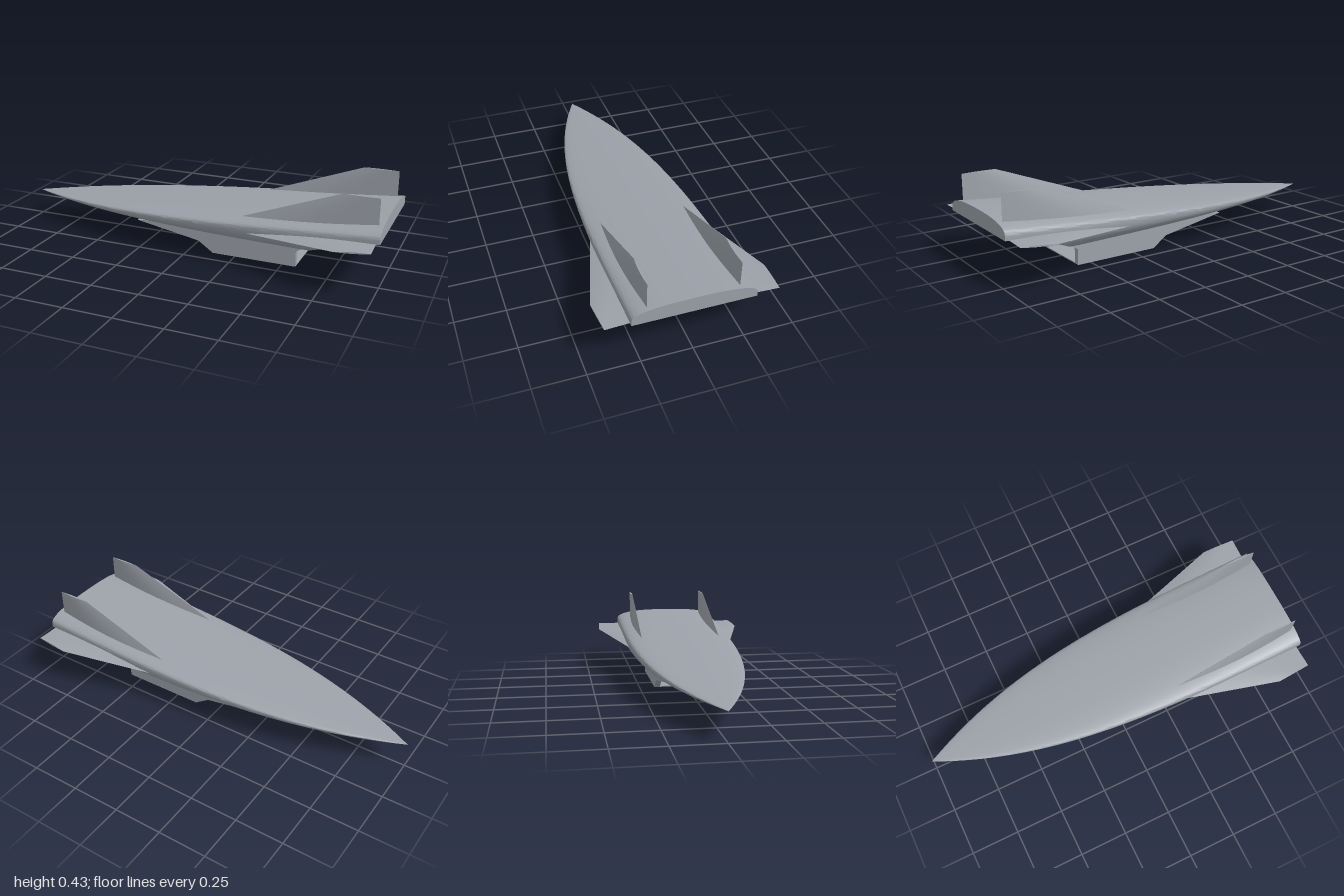
import * as THREE from 'three';
import { toCreasedNormals } from 'three/addons/utils/BufferGeometryUtils.js';

const material = new THREE.MeshStandardMaterial({ color: 0x9ca1a9 });

function add(group, name, geometry, crease = 0.55) {
  const mesh = new THREE.Mesh(toCreasedNormals(geometry, crease), material);
  mesh.name = name;
  group.add(mesh);
}

// Skin closed rings of [x, y, z] that run counterclockwise about the loft direction
function loft(rings) {
  const n = rings[0].length, pos = [];
  const tri = (a, b, c) => pos.push(...a, ...b, ...c);
  const centre = (r) => [0, 1, 2].map((k) => r.reduce((s, p) => s + p[k], 0) / n);
  const first = rings[0], last = rings[rings.length - 1];
  const c0 = centre(first), c1 = centre(last);
  for (let j = 0; j < n; j++) {
    const k = (j + 1) % n;
    for (let i = 0; i + 1 < rings.length; i++) {
      const p = rings[i], q = rings[i + 1];
      tri(p[j], p[k], q[k]);
      tri(p[j], q[k], q[j]);
    }
    tri(c0, first[k], first[j]);
    tri(c1, last[j], last[k]);
  }
  const g = new THREE.BufferGeometry();
  g.setAttribute('position', new THREE.Float32BufferAttribute(pos, 3));
  return g;
}

// Side profile extruded between two z values
function slab(points, z0, z1) {
  const shape = new THREE.Shape(points.map(([x, y]) => new THREE.Vector2(x, y)));
  const g = new THREE.ExtrudeGeometry(shape, { depth: z1 - z0, bevelEnabled: false });
  return g.translate(0, 0, z0);
}

// Thin lens section from leading edge to trailing edge; off(t) maps thickness to an offset
function lens(le, te, thickness, off) {
  const ring = [], N = 10;
  for (let i = 0; i < 2 * N; i++) {
    const u = i <= N ? i / N : 2 - i / N;
    const t = (i <= N ? 1 : -1) * Math.sin(Math.PI * u) * thickness / 2;
    const d = off(t);
    ring.push(le.map((v, k) => v + (te[k] - v) * u + d[k]));
  }
  return ring;
}

// Nozzle roof line, curving from the duct up into the tail ramp
const roof = [[0.42, 0.055], [0.5, 0.1], [0.6, 0.138], [0.7, 0.17], [0.776, 0.187]];
function roofY(x) {
  for (let i = 0; i + 1 < roof.length; i++) {
    const [x0, y0] = roof[i], [x1, y1] = roof[i + 1];
    if (x >= x0 && x <= x1) return y0 + (y1 - y0) * (x - x0) / (x1 - x0);
  }
  return 0;
}

// One fuselage section: superellipse with flat belly, cut by the tail ramp
function section(x) {
  const t = (x + 1) / 2, e = 2 / 2.6, K = 20;
  const w = Math.max(0.0005, 0.296 * (1 - Math.pow(1 - t, 3.4)));
  const mid = 0.138 + 0.117 * t, top = 0.1385 + 0.1755 * t;
  const belly = 0.1375 - 0.039 * (x + 1) / 1.6;
  const h = (mid - belly) / 0.933;
  const ramp = x < 0.6 ? 0 : 0.235 - 0.136 * Math.pow((1 - x) / 0.4, 1.7);
  const low = Math.max(belly, ramp), inner = Math.max(low, roofY(x));
  const end = Math.asin(Math.pow(Math.min(1, (mid - low) / h), 1 / e));
  const half = [];
  for (let i = 0; i <= K; i++) {
    const a = (Math.PI / 2) * (1 - i / K);
    half.push([x, mid + (top - mid) * Math.pow(Math.sin(a), e), w * Math.pow(Math.max(0, Math.cos(a)), e)]);
  }
  half[0][2] = 0;
  for (let i = 1; i <= K; i++) {
    const a = end * i / K;
    half.push([x, mid - h * Math.pow(Math.sin(a), e), w * Math.pow(Math.cos(a), e)]);
  }
  const zn = Math.min(0.14, 0.48 * w);
  half.push([x, low, zn], [x, inner, zn], [x, inner, 0]);
  const other = half.slice(1, -1).reverse().map(([a, b, c]) => [a, b, -c]);
  return half.concat(other);
}

export function createModel() {
  const model = new THREE.Group();
  model.name = 'hypersonicAircraft';

  // Fuselage
  const rings = [];
  for (let i = 0; i <= 80; i++) rings.push(section((i - 40) / 40));
  add(model, 'fuselage', loft(rings), 0.95);

  // Engine: compression ramp with duct roof, cowl floor, side walls
  const engine = new THREE.Group();
  engine.name = 'engine';
  model.add(engine);
  add(engine, 'inletRamp', slab([
    [-0.3, 0.117], [0.05, 0.055], [0.15, 0.035], [0.32, 0.035], [0.42, 0.055],
    [0.503, 0.1012], [0.49, 0.125], [-0.2, 0.125],
  ], -0.14, 0.14));
  const floor = new THREE.BoxGeometry(0.44, 0.005, 0.28).translate(0.35, 0.0025, 0);
  add(engine, 'cowlFloor', floor);
  const wall = [
    [-0.3, 0.117], [0.05, 0.055], [0.13, 0], [0.57, 0], [0.57, 0.08],
    [0.6, 0.1], [0.57, 0.115], [0.4, 0.125], [-0.2, 0.125],
  ];
  add(engine, 'leftSideWall', slab(wall, 0.14, 0.17));
  add(engine, 'rightSideWall', slab(wall, -0.17, -0.14));

  for (const s of [1, -1]) {
    const side = s > 0 ? 'left' : 'right';
    // Wing, tilted up toward the trailing edge
    const drop = (t) => [0, -t * s, 0];
    add(model, side + 'Wing', loft([
      lens([0.29, 0.181, 0.27 * s], [0.98, 0.235, 0.27 * s], 0.026, drop),
      lens([0.81, 0.221, 0.423 * s], [0.985, 0.234, 0.413 * s], 0.008, drop),
    ]));
    // Upright tail fin
    const out = (t) => [0, 0, t];
    add(model, side + 'TailFin', loft([
      lens([0.27, 0.232, 0.218 * s], [0.975, 0.27, 0.218 * s], 0.038, out),
      lens([0.8, 0.43, 0.218 * s], [0.975, 0.43, 0.218 * s], 0.01, out),
    ]));
  }
  return model;
}
